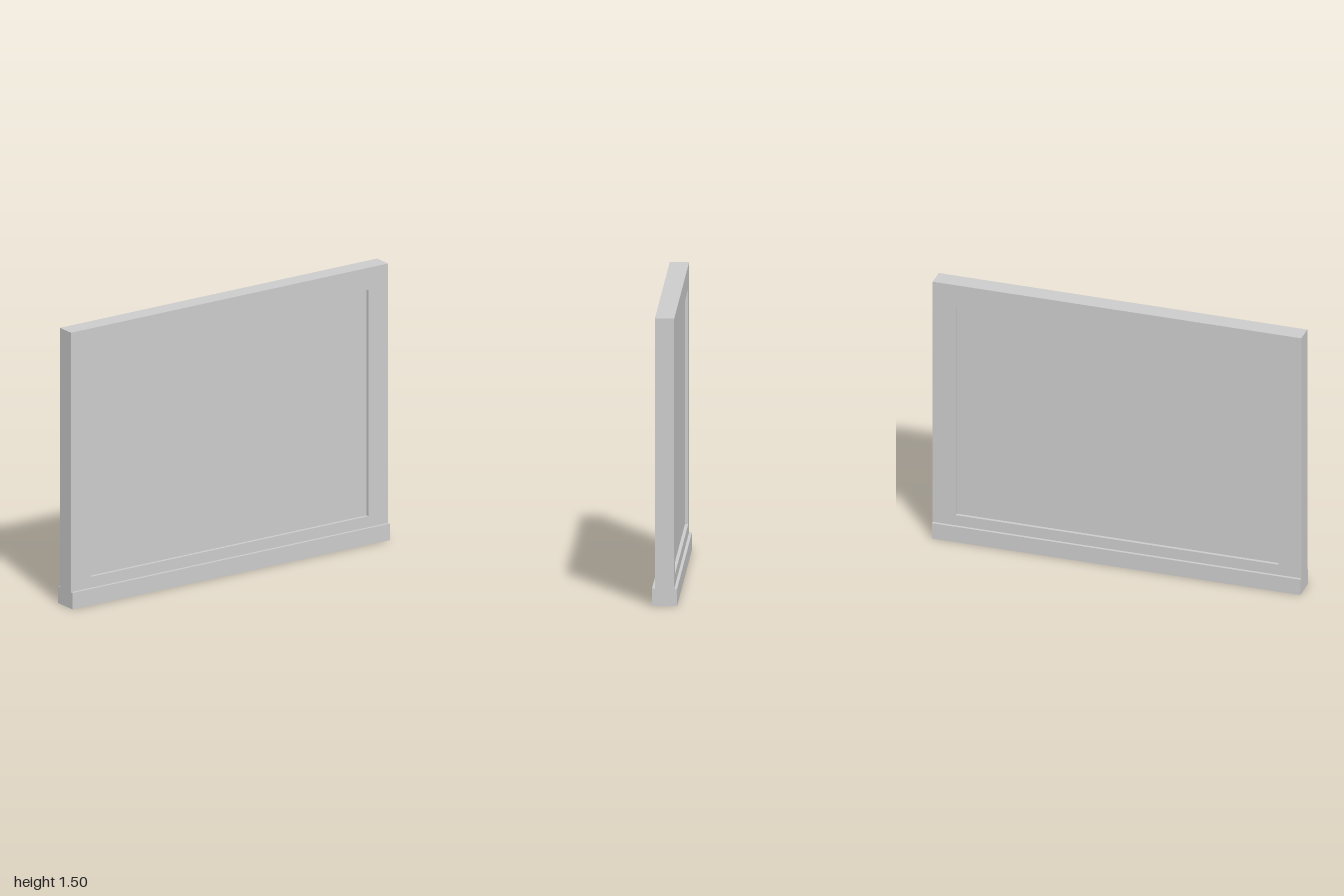
import * as THREE from 'three';

const WIDTH = 2, HEIGHT = 1.5, DEPTH = 0.1;
const BASE_HEIGHT = 0.09, BASE_DEPTH = 0.13;
const PANEL = { x: 0.875, bottom: 0.15, top: 1.38, recess: 0.017 };

// Corners of a rectangle, counter-clockwise
function rectangle(x, bottom, top) {
  return [[-x, bottom], [x, bottom], [x, top], [-x, top]].map(([px, py]) => new THREE.Vector2(px, py));
}

export function createModel() {
  const model = new THREE.Group();
  model.name = 'framedPanel';
  const material = new THREE.MeshStandardMaterial({ color: 0xcccccc });

  const add = (name, geometry, y = 0, z = 0) => {
    const mesh = new THREE.Mesh(geometry, material);
    mesh.name = name;
    mesh.position.set(0, y, z);
    model.add(mesh);
  };

  // Frame with a rectangular opening, standing on the base rail
  const outline = new THREE.Shape(rectangle(WIDTH / 2, BASE_HEIGHT, HEIGHT));
  outline.holes.push(new THREE.Path(rectangle(PANEL.x, PANEL.bottom, PANEL.top).reverse()));
  add('frame', new THREE.ExtrudeGeometry(outline, { depth: DEPTH, bevelEnabled: false }), 0, -DEPTH / 2);

  // Infill set back from the frame on both faces
  add('infillPanel', new THREE.BoxGeometry(2 * PANEL.x, PANEL.top - PANEL.bottom, DEPTH - 2 * PANEL.recess),
    (PANEL.top + PANEL.bottom) / 2);

  // Base rail, slightly deeper than the frame
  add('baseRail', new THREE.BoxGeometry(WIDTH, BASE_HEIGHT, BASE_DEPTH), BASE_HEIGHT / 2);

  return model;
}
